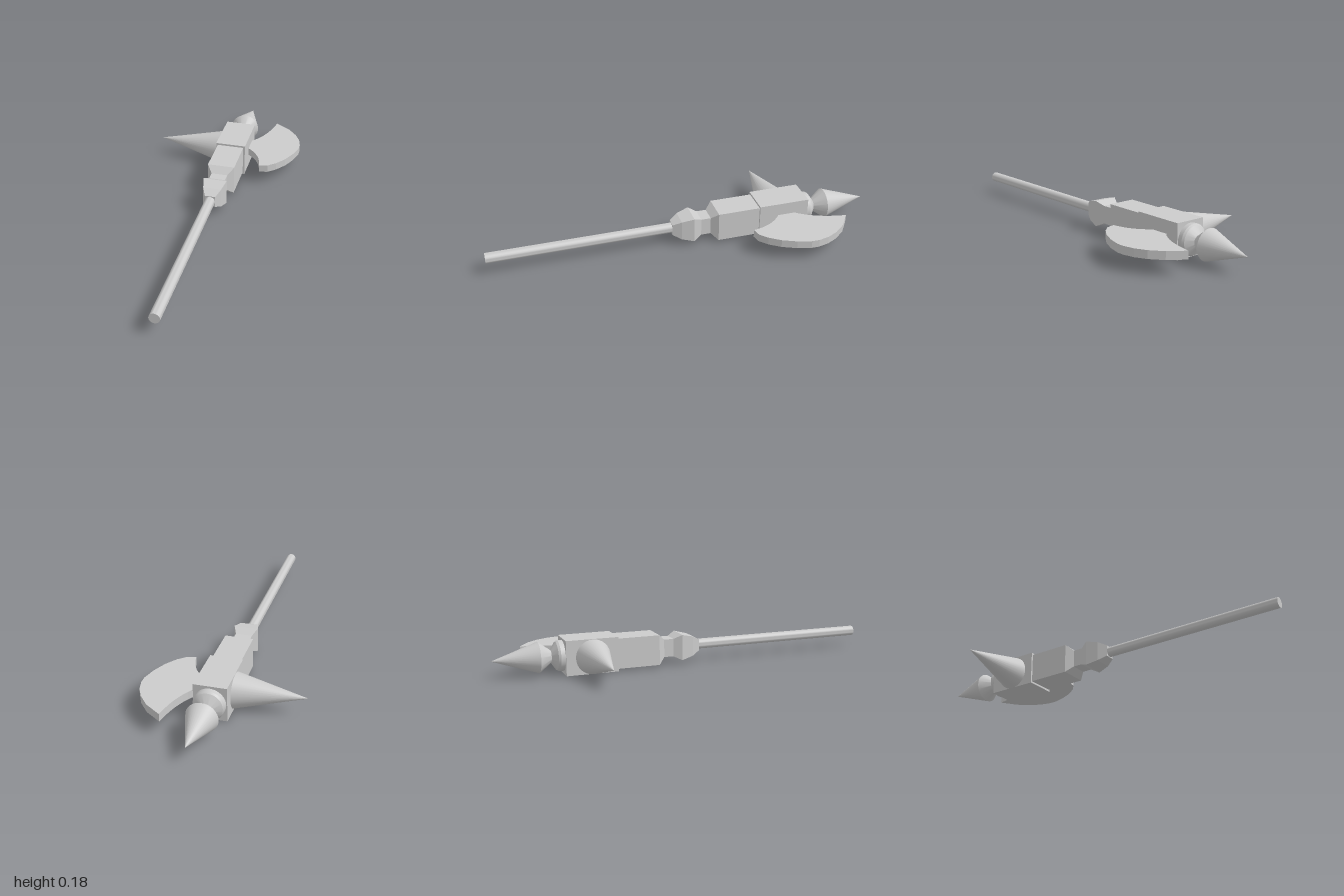
import * as THREE from 'three';
import { toCreasedNormals } from 'three/addons/utils/BufferGeometryUtils.js';

const AXIS_X = 0.035, AXIS_Y = 0.09;

export function createModel() {
  const group = new THREE.Group();
  const smooth = new THREE.MeshStandardMaterial({ color: 0xcccccc });
  const flat = new THREE.MeshStandardMaterial({ color: 0xcccccc, flatShading: true });

  const add = (name, geometry, material = smooth) => {
    const mesh = new THREE.Mesh(geometry, material);
    mesh.name = name;
    group.add(mesh);
    return mesh;
  };

  // Turned part along the weapon axis; profile is [radius, z] with z rising
  const turned = (profile, segments, phase = 0) =>
    new THREE.LatheGeometry(profile.map(([r, z]) => new THREE.Vector2(r, z)), segments, phase)
      .rotateX(Math.PI / 2);

  // Round shaft
  add('shaft', toCreasedNormals(
    turned([[0, 0.03], [0.026, 0.03], [0.026, 1], [0, 1]], 24), 0.6
  )).position.set(AXIS_X, AXIS_Y, 0);

  // Square socket: straight block, waist and flared collar (half widths)
  const socketProfile = [
    [0, -0.4], [0.071, -0.4], [0.071, -0.17], [0.042, -0.135], [0.042, -0.085],
    [0.061, -0.043], [0.047, 0.02], [0.027, 0.063], [0, 0.063],
  ].map(([h, z]) => [h * Math.SQRT2, z]);
  const socket = add('socket', turned(socketProfile, 4, Math.PI / 4), flat);
  socket.position.set(AXIS_X, AXIS_Y, 0);
  socket.scale.y = 1.08;

  // Head block
  add('headBlock', new THREE.BoxGeometry(0.161, 0.174, 0.264), flat)
    .position.set(AXIS_X, AXIS_Y, -0.521);

  // Front spike with its collar and pinched neck
  add('topSpike', toCreasedNormals(turned([
    [0, -1], [0.077, -0.773], [0.032, -0.712], [0.07, -0.686], [0.076, -0.675],
    [0.076, -0.64], [0, -0.64],
  ], 32), 0.45)).position.set(AXIS_X, AXIS_Y, 0);

  // Side spike, its point raised slightly
  const spike = new THREE.ConeGeometry(0.087, 0.343, 32)
    .rotateZ(Math.PI / 2).translate(-0.2175, 0.088, -0.518);
  const pos = spike.attributes.position;
  for (let i = 0; i < pos.count; i++) {
    pos.setY(i, pos.getY(i) + 0.011 * (-0.046 - pos.getX(i)) / 0.343);
  }
  add('sideSpike', toCreasedNormals(spike, 0.6));

  // Crescent blade, drawn as (x, -z)
  const outline = new THREE.Shape();
  outline.moveTo(0.09, 0.59);
  outline.lineTo(0.09, 0.49);
  outline.lineTo(0.115, 0.49);
  outline.quadraticCurveTo(0.195, 0.43, 0.21, 0.32);
  [[0.255, 0.33], [0.295, 0.365], [0.335, 0.42], [0.367, 0.49], [0.386, 0.56],
    [0.386, 0.6], [0.373, 0.655], [0.345, 0.71], [0.295, 0.77], [0.215, 0.825]]
    .forEach(([x, y]) => outline.lineTo(x, y));
  outline.quadraticCurveTo(0.19, 0.66, 0.115, 0.58);
  outline.closePath();
  add('axeBlade', new THREE.ExtrudeGeometry(outline, {
    depth: 0.04, bevelEnabled: false, curveSegments: 8,
  }).rotateX(-Math.PI / 2).translate(0, 0.072, 0), flat);

  return group;
}
